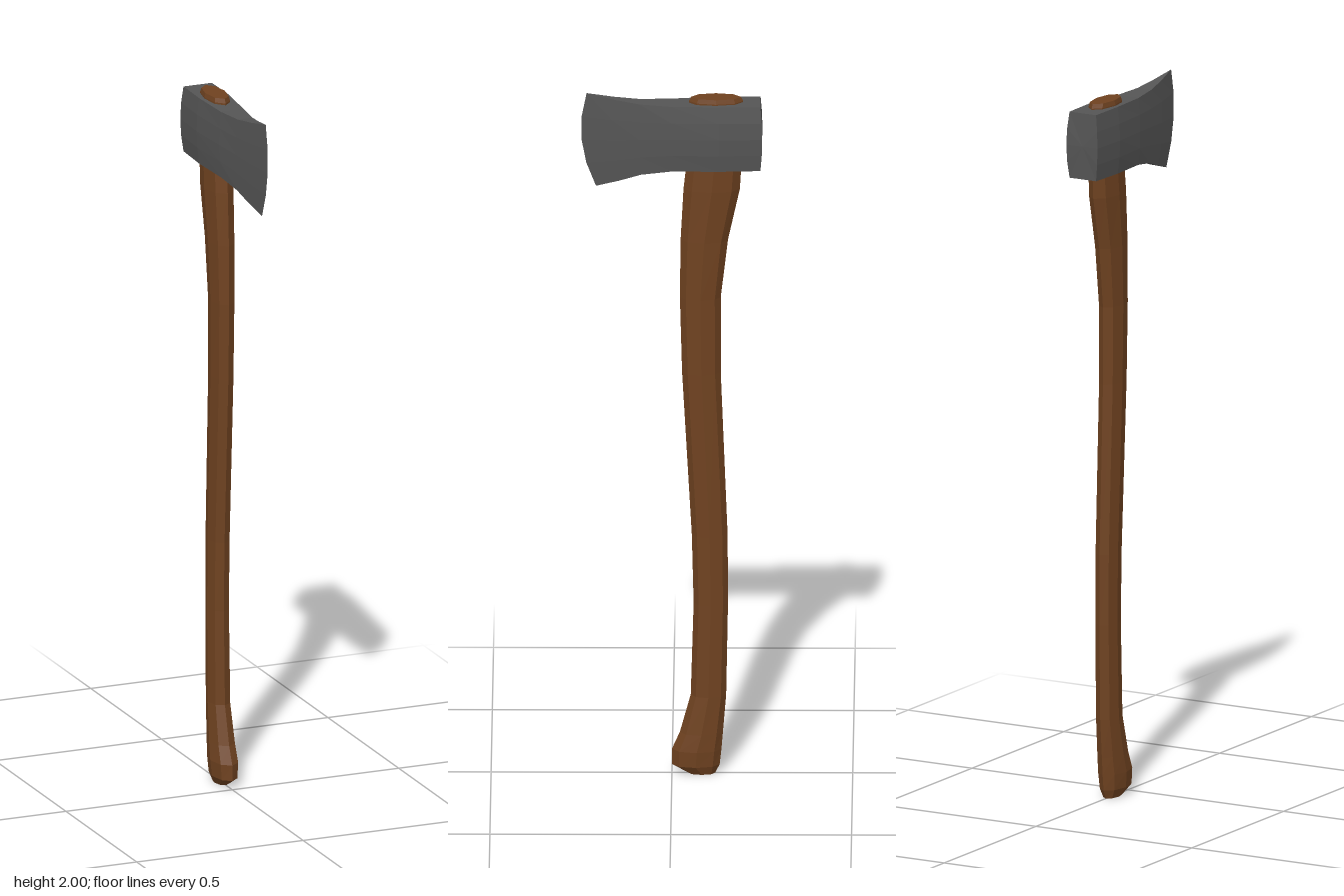
import * as THREE from 'three';

// Skin a list of equal-length rings (counter-clockwise seen along the travel direction) and cap both ends
function loft(rings) {
  const pos = [];
  const tri = (a, b, c) => {
    const area = b.clone().sub(a).cross(c.clone().sub(a)).length();
    if (area > 1e-9) for (const p of [a, b, c]) pos.push(p.x, p.y, p.z);
  };
  const n = rings[0].length;
  const cap = (ring, flip) => {
    const mid = new THREE.Vector3();
    ring.forEach(p => mid.addScaledVector(p, 1 / n));
    ring.forEach((p, j) => {
      const q = ring[(j + 1) % n];
      if (flip) tri(mid, q, p); else tri(mid, p, q);
    });
  };
  for (let i = 0; i < rings.length - 1; i++) {
    for (let j = 0; j < n; j++) {
      const k = (j + 1) % n;
      tri(rings[i][j], rings[i][k], rings[i + 1][k]);
      tri(rings[i][j], rings[i + 1][k], rings[i + 1][j]);
    }
  }
  cap(rings[0], true);
  cap(rings[rings.length - 1], false);
  const geo = new THREE.BufferGeometry();
  geo.setAttribute('position', new THREE.Float32BufferAttribute(pos, 3));
  geo.computeVertexNormals();
  return geo;
}

// Octagonal handle section: height, front z, back z, half width
function handleRing([y, front, back, w]) {
  const ring = [];
  for (let j = 0; j < 8; j++) {
    const a = (j / 8) * Math.PI * 2;
    ring.push(new THREE.Vector3(
      w * Math.sin(a), y, (front + back) / 2 + ((front - back) / 2) * Math.cos(a)));
  }
  return ring;
}

// Head section: z at bottom, middle, top; y at bottom, top; half width. Sides bulge at mid height
function headRing([zb, zm, zt, yb, yt, w]) {
  const steps = 4, right = [], left = [];
  for (let i = 0; i <= steps; i++) {
    const t = i / steps;
    const z = zb * (1 - t) * (1 - 2 * t) + zm * 4 * t * (1 - t) + zt * t * (2 * t - 1);
    const x = w * (1 - 0.15 * (2 * t - 1) ** 2);
    const y = yb + (yt - yb) * t;
    right.push(new THREE.Vector3(x, y, z));
    left.unshift(new THREE.Vector3(-x, y, z));
  }
  return [...right, ...left];
}

export function createModel() {
  const group = new THREE.Group();
  const wood = new THREE.MeshStandardMaterial({ color: 0x6f4220, flatShading: true });
  const steel = new THREE.MeshStandardMaterial({ color: 0x555555, flatShading: true });

  // Curved handle, from the flared knob up through the eye of the head
  const handle = new THREE.Mesh(loft([
    [0, -0.045, -0.12, 0.02],
    [0.025, 0, -0.132, 0.033],
    [0.07, 0, -0.137, 0.037],
    [0.12, -0.022, -0.141, 0.035],
    [0.23, -0.052, -0.15, 0.031],
    [0.5, -0.06, -0.155, 0.03],
    [0.7, -0.055, -0.154, 0.03],
    [1.18, -0.028, -0.135, 0.031],
    [1.4, -0.022, -0.135, 0.032],
    [1.57, -0.024, -0.155, 0.035],
    [1.72, -0.032, -0.188, 0.038],
    [1.79, -0.04, -0.192, 0.037],
    [1.978, -0.047, -0.197, 0.032],
    [1.99, -0.053, -0.191, 0.029],
  ].map(handleRing)), wood);
  handle.name = 'handle';

  // Wedge-shaped head, from the flat poll to the sharp flared edge
  const head = new THREE.Mesh(loft([
    [-0.245, -0.25, -0.245, 1.787, 1.975, 0.05],
    [-0.13, -0.13, -0.13, 1.785, 1.975, 0.052],
    [0, 0, 0, 1.782, 1.972, 0.04],
    [0.085, 0.09, 0.09, 1.768, 1.975, 0.026],
    [0.145, 0.165, 0.16, 1.747, 1.985, 0.0145],
    [0.21, 0.25, 0.236, 1.727, 2.0, 0],
  ].map(headRing)), steel);
  head.name = 'axeHead';

  group.add(handle, head);
  return group;
}
